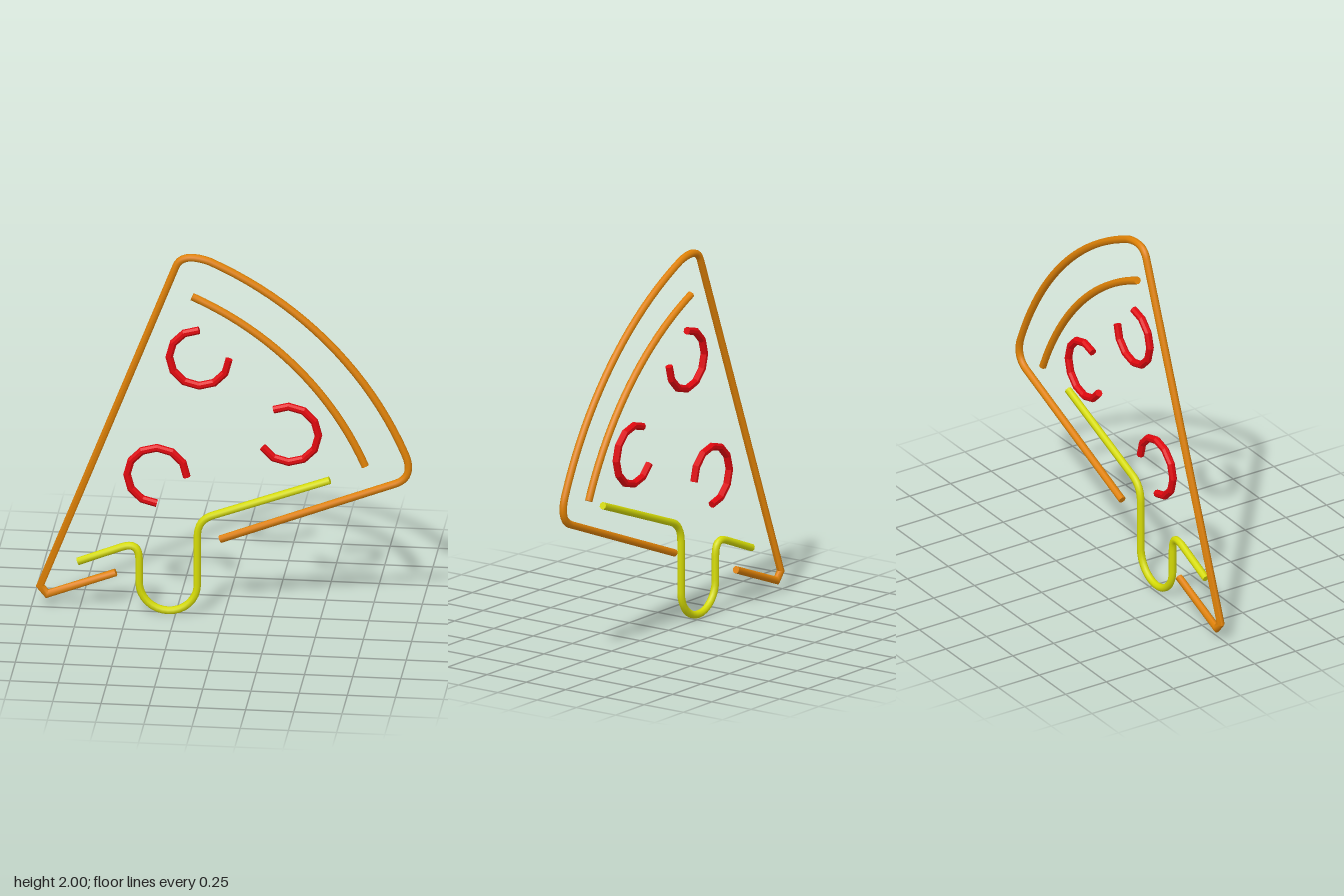
import * as THREE from 'three';
import { toCreasedNormals } from 'three/addons/utils/BufferGeometryUtils.js';

const RADIUS = 0.02;
const SIDES = 8;
const rad = THREE.MathUtils.degToRad;

// Sweeps a round section along a flat path, with mitred joints and closed ends
function tube(path, divisions, z, crease) {
  const pts = path.getPoints(divisions)
    .filter((p, i, all) => i === 0 || p.distanceTo(all[i - 1]) > 0.004);
  const last = pts.length - 1;
  const positions = [];
  const index = [];
  pts.forEach((p, i) => {
    const before = pts[i].clone().sub(pts[Math.max(i - 1, 0)]).normalize();
    const after = pts[Math.min(i + 1, last)].clone().sub(p).normalize();
    const dir = before.clone().add(after).normalize();
    const mitre = 1 / dir.dot(i < last ? after : before);
    for (let j = 0; j < SIDES; j++) {
      const a = ((j + 0.5) / SIDES) * Math.PI * 2;
      const out = Math.cos(a) * RADIUS * mitre;
      positions.push(p.x - dir.y * out, p.y + dir.x * out, z + Math.sin(a) * RADIUS);
    }
  });
  for (let i = 0; i < last; i++) {
    for (let j = 0; j < SIDES; j++) {
      const a = i * SIDES + j;
      const b = i * SIDES + ((j + 1) % SIDES);
      index.push(a, b, b + SIDES, a, b + SIDES, a + SIDES);
    }
  }
  const end = last * SIDES;
  for (let j = 1; j < SIDES - 1; j++) {
    index.push(0, j + 1, j, end, end + j, end + j + 1);
  }
  const geometry = new THREE.BufferGeometry();
  geometry.setAttribute('position', new THREE.Float32BufferAttribute(positions, 3));
  geometry.setIndex(index);
  return toCreasedNormals(geometry, rad(crease));
}

export function createModel() {
  const crustOrange = new THREE.MeshStandardMaterial({ color: 0xe08206 });
  crustOrange.name = 'crustOrange';
  const toppingRed = new THREE.MeshStandardMaterial({ color: 0xe0080f });
  toppingRed.name = 'toppingRed';
  const cheeseYellow = new THREE.MeshStandardMaterial({ color: 0xd6dc06 });
  cheeseYellow.name = 'cheeseYellow';

  const group = new THREE.Group();
  group.name = 'pizzaSlice';
  const add = (name, geometry, material) => {
    const mesh = new THREE.Mesh(geometry, material);
    mesh.name = name;
    group.add(mesh);
  };

  // Slice outline: tip, long side, curved crust and lower side
  const cx = -0.854, cy = 0.186;
  const outline = new THREE.Path();
  outline.moveTo(-0.564, 0.204);
  outline.lineTo(-0.92, 0.068);
  outline.lineTo(-0.957, 0.112);
  outline.lineTo(-0.252, 1.93);
  outline.quadraticCurveTo(-0.22, 2.01, -0.08, 1.965);
  outline.absarc(cx, cy, 1.94, rad(66.5), rad(22.5), true);
  outline.quadraticCurveTo(0.985, 0.81, 0.89, 0.768);
  outline.lineTo(-0.024, 0.414);
  add('sliceOutline', tube(outline, 10, -0.02, 50), crustOrange);

  // Inner edge of the crust
  const inner = new THREE.Path();
  inner.absarc(cx, cy, 1.72, rad(66.5), rad(23), true);
  add('innerCrust', tube(inner, 10, -0.02, 50), crustOrange);

  // Melted cheese edge with one hanging drip
  const cheese = new THREE.Path();
  cheese.moveTo(-0.757, 0.273);
  cheese.lineTo(-0.53, 0.364);
  cheese.quadraticCurveTo(-0.439, 0.4, -0.439, 0.3);
  cheese.lineTo(-0.439, 0.172);
  cheese.absarc(-0.288, 0.172, 0.151, Math.PI, Math.PI * 2, false);
  cheese.lineTo(-0.137, 0.44);
  cheese.quadraticCurveTo(-0.137, 0.533, -0.058, 0.562);
  cheese.lineTo(0.55, 0.787);
  add('cheeseDrip', tube(cheese, 8, 0.02, 50), cheeseYellow);

  // Toppings: three-quarter rings, each made of nine straight pieces
  [
    ['upperTopping', -0.132, 1.422, 90, 360],
    ['rightTopping', 0.332, 1.017, -150, 120],
    ['lowerTopping', -0.351, 0.755, 0, 270],
  ].forEach(([name, x, y, from, to]) => {
    const ring = new THREE.EllipseCurve(x, y, 0.155, 0.155, rad(from), rad(to));
    add(name, tube(ring, 9, -0.02, 20), toppingRed);
  });

  return group;
}
